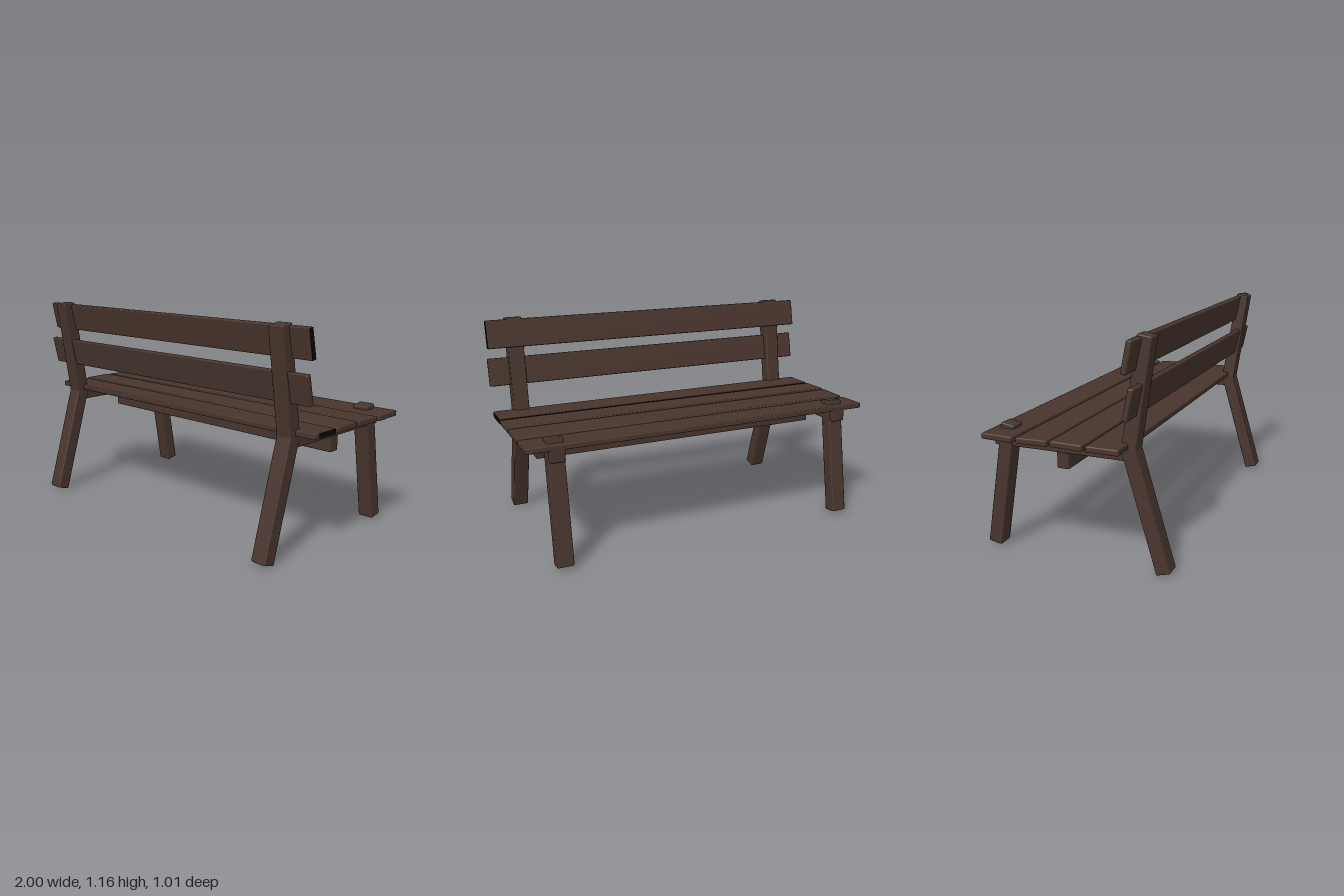
import * as THREE from 'three';
import { RoundedBoxGeometry } from 'three/addons/geometries/RoundedBoxGeometry.js';

export function createModel() {
  const bench = new THREE.Group();
  bench.name = 'bench';

  const wood = new THREE.MeshStandardMaterial({ color: 0x48352d });
  wood.name = 'dark brown wood';
  const charred = new THREE.MeshStandardMaterial({ color: 0x0b0808 });
  charred.name = 'black end grain';

  // Softly bevelled timber
  function timber(name, w, h, d, x, y, z, tilt = 0, bevel = 0.007) {
    const mesh = new THREE.Mesh(new RoundedBoxGeometry(w, h, d, 1, bevel), wood);
    mesh.name = name;
    mesh.position.set(x, y, z);
    mesh.rotation.x = tilt;
    bench.add(mesh);
    return mesh;
  }

  // Timber running between two [z, y] points at a given x
  function strut(name, x, a, b, w, d) {
    const dz = b[0] - a[0], dy = b[1] - a[1];
    return timber(name, w, Math.hypot(dz, dy), d,
      x, (a[1] + b[1]) / 2, (a[0] + b[0]) / 2, Math.atan2(dz, dy));
  }

  // Thin dark face laid on a timber
  function darkFace(parent, name, w, h, d, x, y, z) {
    const mesh = new THREE.Mesh(new THREE.BoxGeometry(w, h, d), charred);
    mesh.name = name;
    mesh.position.set(x, y, z);
    parent.add(mesh);
  }

  // Legs, back posts and seat bearers on both sides
  for (const [side, s] of [['left', 1], ['right', -1]]) {
    const x = s * 0.838;
    strut(side + 'FrontLeg', x, [-0.467, 0.017], [-0.36, 0.672], 0.088, 0.075);
    strut(side + 'RearLeg', x, [0.47, 0.012], [0.288, 0.625], 0.088, 0.075);
    strut(side + 'BackPost', x, [0.289, 0.605], [0.372, 1.163], 0.088, 0.076);
    timber(side + 'SeatBearer', 0.08, 0.075, 0.72, x, 0.596, -0.08);
  }

  // Stretcher under the seat
  timber('stretcher', 1.72, 0.092, 0.066, 0, 0.516, -0.066);

  // Seat planks, rear to front: [z, y, tilt]
  const planks = [[0.207, 0.636, 0], [0.021, 0.637, 0.02], [-0.163, 0.635, -0.02], [-0.353, 0.634, 0.02]]
    .map(([z, y, tilt], i) => timber('seatPlank' + (i + 1), 1.994, 0.031, 0.17, 0, y, z, tilt));
  darkFace(planks[0], 'seatPlankDarkEnd', 0.004, 0.026, 0.13, 0.996, 0, -0.015);
  darkFace(planks[0], 'seatPlankDarkEdge', 1.98, 0.024, 0.004, 0, 0, -0.084);

  // Back slats, notched into the posts
  const topSlat = timber('topBackSlat', 1.994, 0.158, 0.03, 0, 1.079, 0.331, 0.2);
  darkFace(topSlat, 'topBackSlatDarkEnd', 0.004, 0.152, 0.026, 0.996, 0, 0);
  timber('lowerBackSlat', 1.994, 0.157, 0.028, 0, 0.864, 0.336, 0.21);

  return bench;
}
